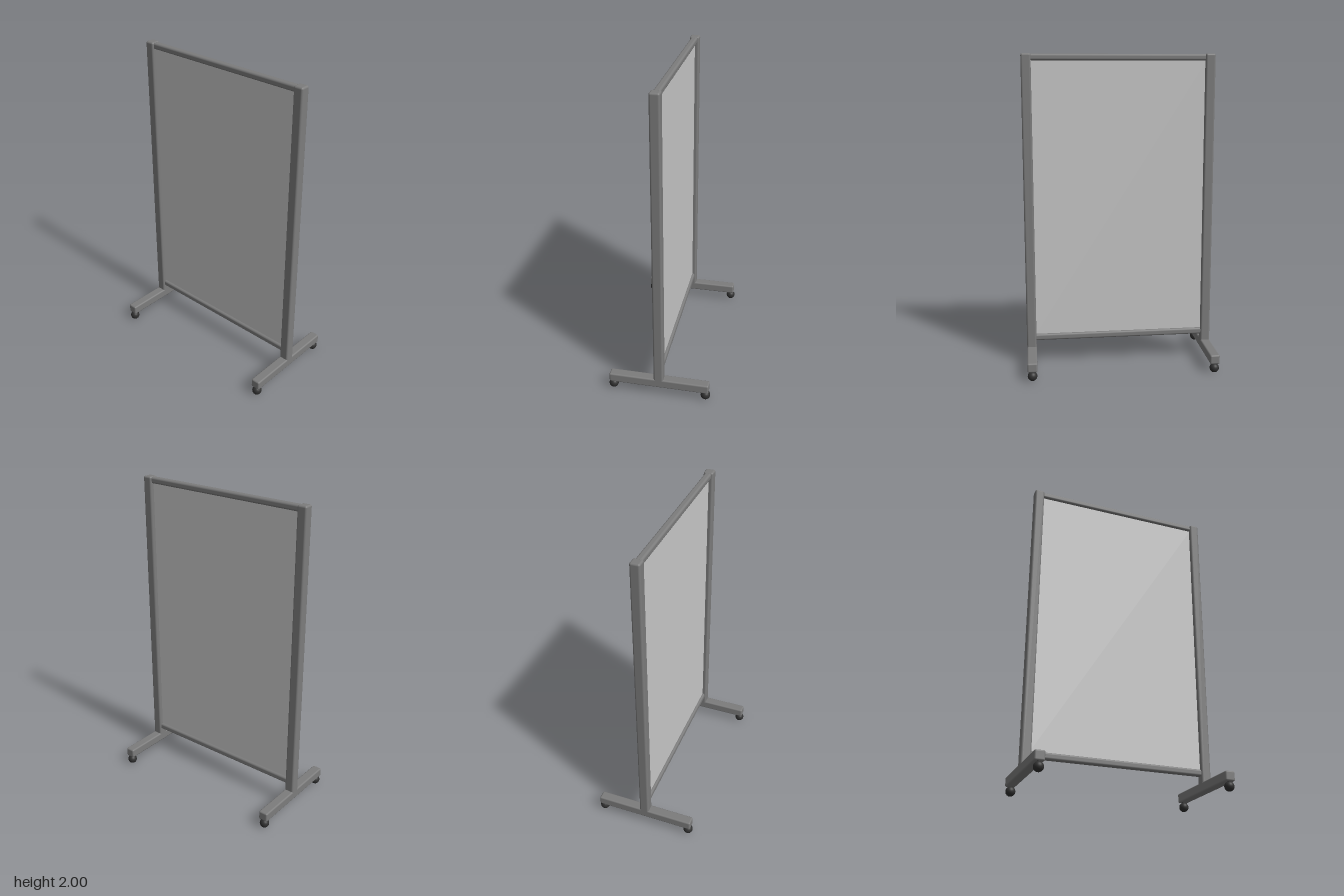
import * as THREE from 'three';
import { RoundedBoxGeometry } from 'three/addons/geometries/RoundedBoxGeometry.js';

const material = (name, color) => {
  const m = new THREE.MeshStandardMaterial({ color });
  m.name = name;
  return m;
};

export function createModel() {
  const model = new THREE.Group();
  model.name = 'rollingScreen';
  const frame = material('frame grey', 0x7c7c7c);
  const panelGrey = material('panel light grey', 0xc8c8c8);
  const rubber = material('wheel black', 0x303030);

  const add = (name, geometry, mat, x, y, z) => {
    const mesh = new THREE.Mesh(geometry, mat);
    mesh.name = name;
    mesh.position.set(x, y, z);
    model.add(mesh);
    return mesh;
  };
  const bar = (w, h, d, r) => new RoundedBoxGeometry(w, h, d, 3, r);

  const sideX = 0.577;

  // Uprights, feet and ball casters, mirrored left and right
  for (const [side, s] of [['left', 1], ['right', -1]]) {
    const x = s * sideX;
    add(side + 'Post', bar(0.062, 1.92, 0.062, 0.012), frame, x, 1.04, 0);
    add(side + 'Foot', bar(0.062, 0.06, 0.64, 0.01), frame, x, 0.089, 0);
    for (const [end, e] of [['Front', 1], ['Back', -1]]) {
      add(side + end + 'Wheel', new THREE.SphereGeometry(0.03, 24, 16), rubber, x, 0.035 - 0.005, e * 0.298);
      // Short stem between wheel and foot
      add(side + end + 'Stem', new THREE.CylinderGeometry(0.012, 0.012, 0.03, 12), rubber, x, 0.06, e * 0.298);
    }
  }

  // Rails between the uprights
  const railLength = 2 * sideX - 0.04;
  add('topRail', bar(railLength, 0.04, 0.042, 0.013), frame, 0, 1.977, 0);
  add('bottomRail', bar(railLength, 0.042, 0.042, 0.013), frame, 0, 0.178, 0);

  // Thin screen panel held inside the frame
  add('panel', new THREE.BoxGeometry(railLength, 1.78, 0.01), panelGrey, 0, 1.077, 0);

  return model;
}
